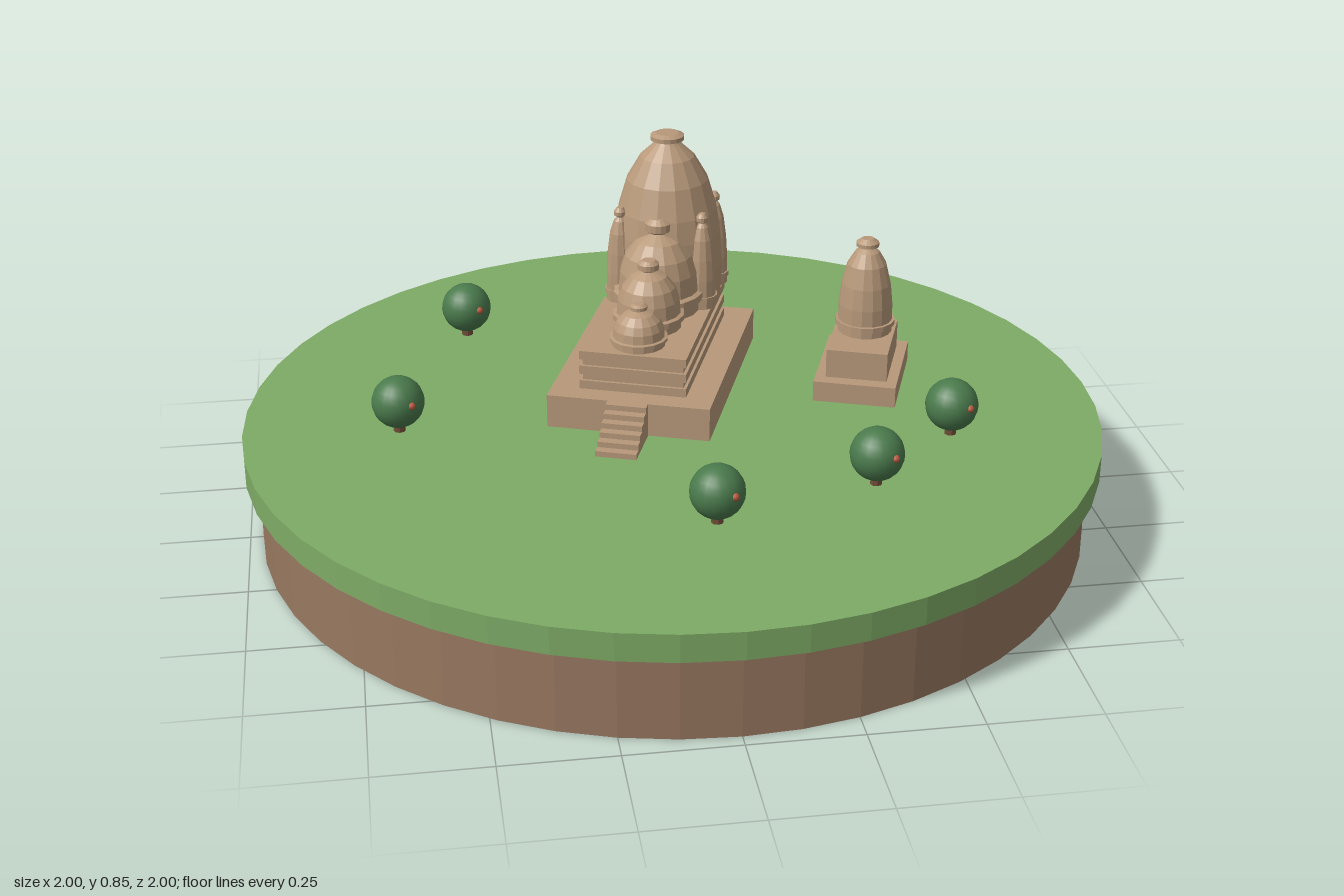
import * as THREE from 'three';

const mat = (name, color, flatShading = true) => {
  const m = new THREE.MeshStandardMaterial({ color, flatShading });
  m.name = name;
  return m;
};

export function createModel() {
  const grass = mat('grass', 0x7eab66);
  const earth = mat('earth', 0x987860);
  const stone = mat('sandstone', 0xb8997a);
  const leaf = mat('foliage', 0x4a7a4c, false);
  const bark = mat('bark', 0x6b4a35);
  const fruit = mat('fruit', 0xb5553c, false);

  const root = new THREE.Group();
  const GROUND = 0.265;

  const add = (parent, name, geo, material, x = 0, y = 0, z = 0) => {
    const mesh = new THREE.Mesh(geo, material);
    mesh.name = name;
    mesh.position.set(x, y, z);
    parent.add(mesh);
    return mesh;
  };
  // Box standing on y0 and reaching y1
  const block = (parent, name, w, d, y0, y1, x = 0, z = 0) =>
    add(parent, name, new THREE.BoxGeometry(w, y1 - y0, d), stone, x, (y0 + y1) / 2, z);
  // Turned stone shape: profile in fractions of radius and height
  const turned = (parent, name, profile, r, h, x, y, z, sides = 16) =>
    add(parent, name, new THREE.LatheGeometry(
      profile.map(([a, b]) => new THREE.Vector2(a * r, b * h)), sides), stone, x, y, z);

  // Round island
  add(root, 'earthBase', new THREE.CylinderGeometry(0.97, 0.97, 0.2, 48), earth, 0, 0.1, 0);
  add(root, 'grassDisc', new THREE.CylinderGeometry(1, 1, 0.065, 48), grass, 0, 0.2325, 0);

  // Spire profiles
  const mainProfile = [[0, 0], [0.97, 0], [0.99, 0.2], [0.95, 0.4], [0.88, 0.54], [0.72, 0.72],
    [0.48, 0.86], [0.24, 0.935], [0.2, 0.95], [0.3, 0.96], [0.3, 0.985], [0.2, 1], [0, 1]];
  const spireProfile = [[0, 0], [0.9, 0], [0.9, 0.08], [1, 0.08], [1, 0.13], [0.9, 0.13], [0.9, 0.3],
    [0.82, 0.52], [0.65, 0.73], [0.4, 0.86], [0.2, 0.9], [0.38, 0.92], [0.38, 0.96], [0.2, 1], [0, 1]];
  const domeProfile = [[0, 0], [0.92, 0], [0.92, 0.1], [1, 0.12], [1, 0.2], [0.9, 0.22], [0.86, 0.42],
    [0.74, 0.6], [0.5, 0.76], [0.2, 0.84], [0.3, 0.87], [0.3, 0.95], [0.18, 1], [0, 1]];

  // Main temple
  const temple = new THREE.Group();
  temple.name = 'temple';
  temple.position.set(-0.02, 0, -0.16);
  temple.rotation.y = -0.35;
  root.add(temple);
  block(temple, 'platform', 0.383, 0.585, GROUND, 0.345);
  block(temple, 'hall', 0.238, 0.468, 0.345, 0.44);
  for (const y of [0.345, 0.382, 0.419]) {
    block(temple, 'hallMoulding', 0.252, 0.482, y, y + 0.021);
  }

  // Stairs
  const STEPS = 6;
  for (let i = 0; i < STEPS; i++) {
    const top = GROUND + 0.08 * (STEPS - i) / STEPS;
    block(temple, 'step', 0.095, 0.021, GROUND, top, 0, 0.3025 + i * 0.021);
  }

  // Rising row of roofs, from the sanctuary to the porch
  turned(temple, 'mainTower', mainProfile, 0.136, 0.405, 0, 0.44, -0.155);
  turned(temple, 'middleTower', domeProfile, 0.108, 0.228, 0, 0.44, -0.05);
  turned(temple, 'hallDome', domeProfile, 0.085, 0.165, 0, 0.44, 0.062);
  turned(temple, 'porchDome', domeProfile, 0.068, 0.1, 0, 0.44, 0.171);
  for (const sx of [-1, 1]) for (const sz of [-1, 1]) {
    turned(temple, 'cornerTurret', spireProfile, 0.038, 0.235, sx * 0.1, 0.44, -0.155 + sz * 0.075, 12);
  }

  // Side shrine
  const shrine = new THREE.Group();
  shrine.name = 'shrine';
  shrine.position.set(0.475, 0, -0.09);
  shrine.rotation.y = -0.35;
  root.add(shrine);
  block(shrine, 'shrinePlinth', 0.195, 0.275, GROUND, 0.315);
  block(shrine, 'shrineBase', 0.145, 0.21, 0.315, 0.385);
  turned(shrine, 'shrineTower', spireProfile, 0.072, 0.235, 0, 0.385, -0.036);

  // Round trees, each with one fruit
  for (const [x, z] of [[-0.64, 0.02], [-0.45, -0.5], [0.015, 0.555], [0.39, 0.435], [0.615, 0.22]]) {
    const tree = new THREE.Group();
    tree.name = 'tree';
    tree.position.set(x, GROUND, z);
    root.add(tree);
    add(tree, 'trunk', new THREE.CylinderGeometry(0.01, 0.014, 0.04, 8), bark, 0, 0.02, 0);
    add(tree, 'crown', new THREE.SphereGeometry(0.061, 20, 14), leaf, 0, 0.074, 0);
    add(tree, 'fruit', new THREE.SphereGeometry(0.009, 8, 6), fruit, 0.03, 0.084, 0.05);
  }

  return root;
}
